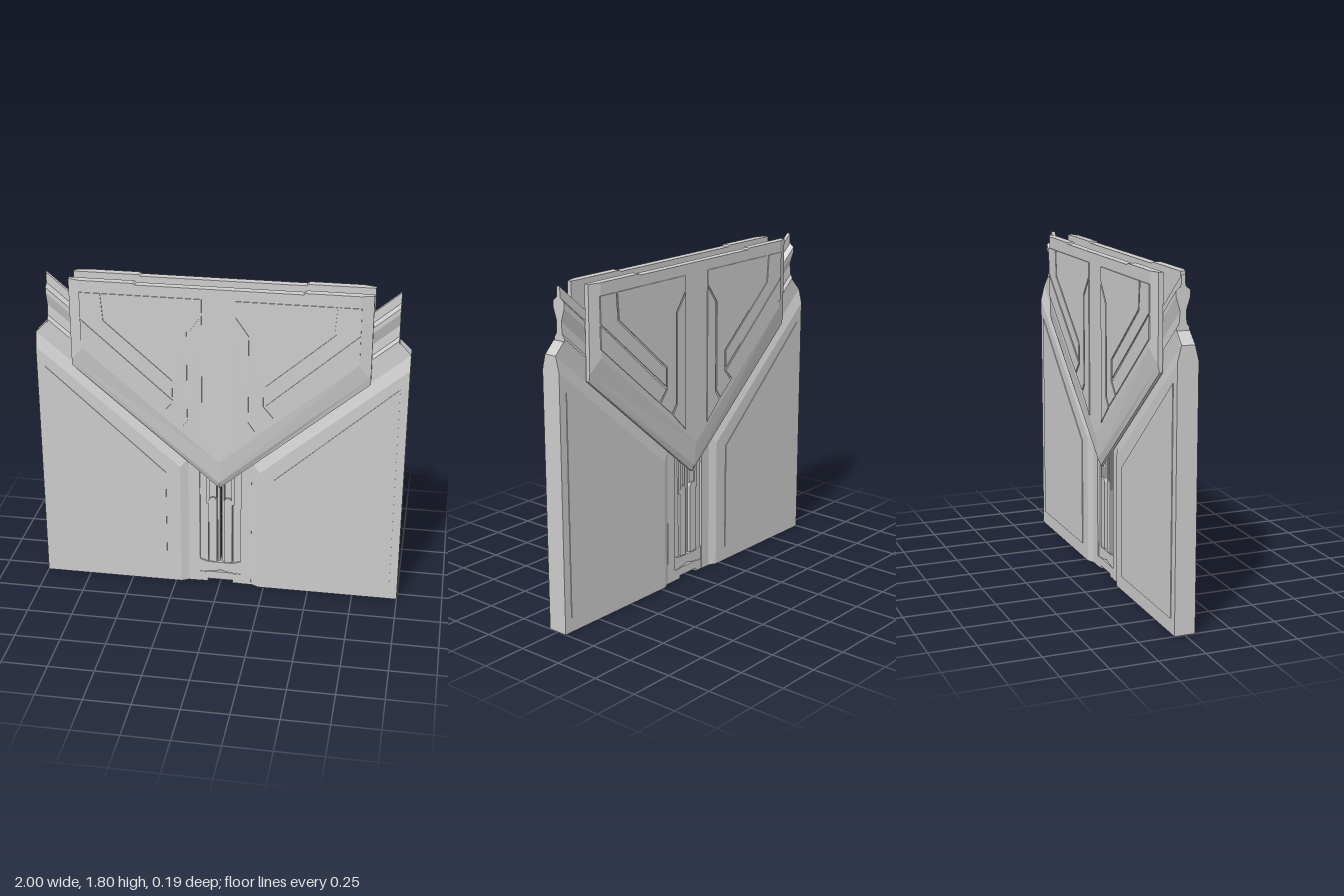
import * as THREE from 'three';

const SLOPE = 0.85, APEX = 0.62;               // diagonal shared by doors, rails and shields
const diag = (x, d = 0) => APEX + SLOPE * x + d;
const mat = new THREE.MeshStandardMaterial({ color: 0xcccccc, flatShading: true });

function add(parent, geometry, name) {
  const mesh = new THREE.Mesh(geometry, mat);
  mesh.name = name;
  parent.add(mesh);
  return mesh;
}

// Solid through convex rings ordered back to front, each counter-clockwise from the front
function loft(rings) {
  const n = rings[0].length, last = (rings.length - 1) * n, index = [];
  for (let r = 0; r < rings.length - 1; r++) {
    for (let i = 0; i < n; i++) {
      const a = r * n + i, b = r * n + (i + 1) % n;
      index.push(a, b, b + n, a, b + n, a + n);
    }
  }
  for (let i = 1; i < n - 1; i++) {
    index.push(0, i + 1, i, last, last + i, last + i + 1);
  }
  const g = new THREE.BufferGeometry();
  g.setAttribute('position', new THREE.Float32BufferAttribute(rings.flat(2), 3));
  g.setIndex(index);
  const flat = g.toNonIndexed();
  flat.computeVertexNormals();
  return flat;
}
const ring = (points, z) => points.map(([x, y, pz]) => [x, y, pz ?? z]);
const mirrorRings = (rings) => rings.map((r) => r.map(([x, y, z]) => [x, y, -z])).reverse();

// Flat plate cut from an outline, between two depths
function plate(points, z0, z1) {
  const shape = new THREE.Shape(points.map(([x, y]) => new THREE.Vector2(x, y)));
  return new THREE.ExtrudeGeometry(shape, { depth: z1 - z0, bevelEnabled: false }).translate(0, 0, z0);
}

function box(parent, name, x0, x1, y0, y1, halfDepth, z = 0) {
  const g = new THREE.BoxGeometry(x1 - x0, y1 - y0, halfDepth * 2);
  g.translate((x0 + x1) / 2, (y0 + y1) / 2, z);
  return add(parent, g, name);
}

// Lower sliding door with bevelled inner and diagonal edges
function buildDoor(half) {
  const outer = [[0.17, 0], [1, 0], [1, 1.47], [0.94, 1.53], [0.17, diag(0.17, 0.11)]];
  const step = [[0.18, 0], [1, 0], [1, 1.47], [0.985, diag(0.985)], [0.18, diag(0.18)]];
  const face = [[0.22, 0], [1, 0], [1, 1.39], [0.97, diag(0.97, -0.08)], [0.22, diag(0.22, -0.08)]];
  const front = [ring(outer, 0.034), ring(step, 0.036), ring(face, 0.056)];
  add(half, loft([...mirrorRings(front), ...front]), 'door');

  // shallow raised panel on both faces
  const panel = [[0.3, 0.08], [0.955, 0.08], [0.955, 1.28], [0.3, 0.69]];
  add(half, plate(panel, -0.06, 0.06), 'doorPanel');
}

// Stepped rail following the diagonal between the shields
function buildRail(half) {
  const side = [[0.034, 0.08], [0.034, 0.13], [0.02, 0.15], [0.016, 0.21], [0.038, 0.28],
    [0.038, 0.31], [0.012, 0.33], [0.01, 0.385]];
  const profile = [...side, ...side.map(([z, d]) => [-z, d]).reverse()];
  const g = plate(profile, 0.06, 0.935).rotateY(Math.PI / 2);
  const shear = new THREE.Matrix4().set(1, 0, 0, 0, SLOPE, 1, 0, APEX, 0, 0, 1, 0, 0, 0, 0, 1);
  g.applyMatrix4(shear);
  g.computeVertexNormals();
  add(half, g, 'diagonalRail');
}

// Bevelled half shield with raised panels, on front and back
function buildShield(half) {
  const top = 1.795, low = 1.787;
  const outline = [[0, APEX], [0.8, diag(0.8)], [0.8, top], [0.45, top], [0.44, low], [0, low]];
  const lip = [[0, diag(0, 0.04), 0.078], [0.8, diag(0.8, 0.04), 0.07], [0.8, top, 0.07],
    [0.45, top, 0.07], [0.44, low, 0.07], [0, low, 0.07]];
  const face = [[0, diag(0, 0.17)], [0.735, diag(0.735, 0.17)], [0.735, top],
    [0.45, top], [0.44, low], [0, low]];
  const rings = [ring(outline, 0.045), ring(outline, 0.062), lip, ring(face, 0.09)];
  add(half, loft(rings), 'shieldFront');
  add(half, loft(mirrorRings(rings)), 'shieldBack');

  const panels = {
    shieldMainPanel: [[0.09, 1.73], [0.09, 1.655], [0.17, 1.545], [0.17, 1.05], [0.205, 1.005],
      [0.295, 1.08], [0.24, 1.145], [0.24, 1.265], [0.605, 1.585], [0.617, 1.73]],
    shieldUpperPanel: [[0.627, 1.73], [0.615, 1.58], [0.25, 1.26], [0.25, 1.165], [0.74, 1.59], [0.74, 1.73]],
    shieldLowerPanel: [[0.74, 1.58], [0.25, 1.147], [0.305, 1.088], [0.74, 1.46]],
    shieldInnerPanel: [[0.09, 1.64], [0.09, 0.89], [0.195, 0.995], [0.16, 1.045], [0.16, 1.54]]
  };
  for (const [name, points] of Object.entries(panels)) {
    add(half, plate(points, 0.085, 0.095), name + 'Front');
    add(half, plate(points, -0.095, -0.085), name + 'Back');
  }
}

// Lock column in the gap between the doors
function buildColumn(half) {
  add(half, plate([[0.115, 0], [0.175, 0], [0.175, 0.86], [0.115, 0.81]], -0.036, 0.036), 'outerJamb');
  add(half, plate([[0.07, 0], [0.118, 0], [0.118, 0.78], [0.07, 0.74]], -0.022, 0.022), 'innerJamb');
  const bar = [[0.02, 0.13], [0.066, 0.13], [0.066, 0.52], [0.055, 0.54], [0.03, 0.54], [0.02, 0.52]];
  add(half, plate(bar, -0.032, 0.032), 'lockBar');
  box(half, 'upperLockBar', 0.025, 0.072, 0.53, 0.9, 0.02);
  box(half, 'upperLockRib', 0.062, 0.078, 0.5, 0.76, 0.03);
  box(half, 'centreRod', 0.005, 0.018, 0.06, 0.95, 0.014);
  add(half, plate([[0, 0.075], [0.07, 0.06], [0.115, 0.06], [0.115, 0.14], [0.07, 0.125], [0, 0.125]],
    -0.03, 0.03), 'collar');
  box(half, 'footBlock', 0, 0.07, 0.018, 0.065, 0.036);
  box(half, 'footCheek', 0.07, 0.118, 0, 0.06, 0.034);
}

export function createModel() {
  const model = new THREE.Group();
  model.name = 'blastDoor';
  // the two halves match under a half turn
  for (const name of ['leftHalf', 'rightHalf']) {
    const half = new THREE.Group();
    half.name = name;
    buildDoor(half);
    buildRail(half);
    buildShield(half);
    buildColumn(half);
    if (name === 'rightHalf') half.rotation.y = Math.PI;
    model.add(half);
  }
  return model;
}
